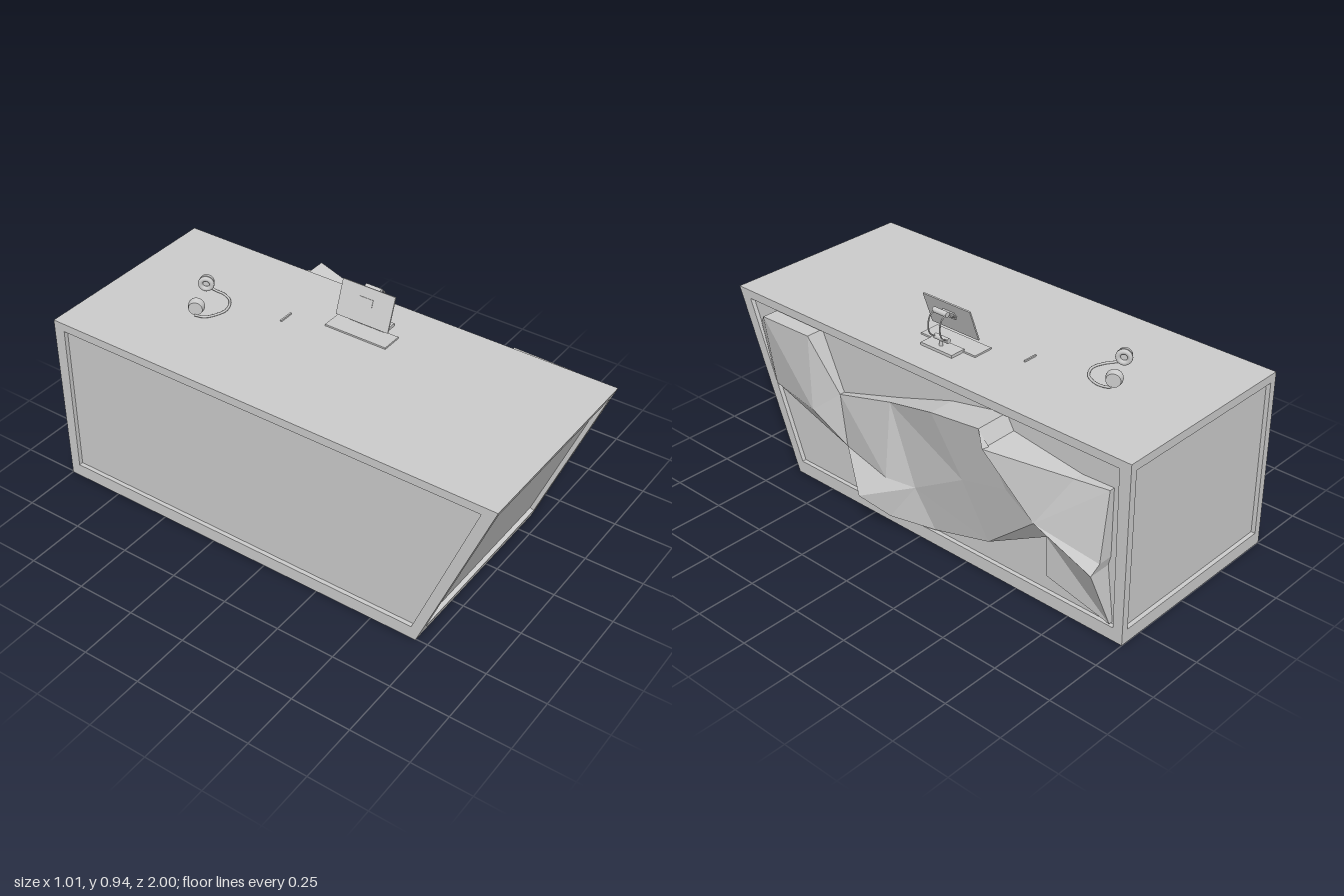
import * as THREE from 'three';

const V = (x, y, z) => new THREE.Vector3(x, y, z);
const grey = new THREE.MeshStandardMaterial({ color: 0xcccccc });
const facet = new THREE.MeshStandardMaterial({ color: 0xcccccc, flatShading: true, side: THREE.DoubleSide });

function add(parent, name, geometry, pos = [0, 0, 0], material = grey) {
  const mesh = new THREE.Mesh(geometry, material);
  mesh.name = name;
  mesh.position.set(...pos);
  parent.add(mesh);
  return mesh;
}

// Unindexed surface from a flat list of triangle corners
function surface(points) {
  const g = new THREE.BufferGeometry().setFromPoints(points);
  g.computeVertexNormals();
  return g;
}
const quad = (a, b, c, d) => [a, b, c, a, c, d];

// Framed face with a recessed panel; corners run counter-clockwise from bottom left
function framedFace(c, side, depth = 0.018) {
  const normal = c[1].clone().sub(c[0]).cross(c[3].clone().sub(c[0])).normalize();
  const at = (u, v) => c[0].clone().lerp(c[1], u).lerp(c[3].clone().lerp(c[2], u), v);
  const rim = [at(side, 0.075), at(1 - side, 0.075), at(1 - side, 0.953), at(side, 0.953)];
  const deep = rim.map((p) => p.clone().addScaledVector(normal, -depth));
  const tris = quad(...deep);
  for (let i = 0; i < 4; i++) {
    const j = (i + 1) % 4;
    tris.push(...quad(c[i], c[j], rim[j], rim[i]), ...quad(rim[i], rim[j], deep[j], deep[i]));
  }
  return surface(tris);
}

function buildDesk() {
  const desk = new THREE.Group();
  desk.name = 'desk';
  const L = -0.505, R = 0.355, H = 0.76;
  // Corners around the foot and the top; the front leans outwards
  const foot = [V(L, 0, 0.7), V(R, 0, 0.7), V(R, 0, -1), V(L, 0, -1)];
  const top = [V(L, H, 1), V(R, H, 1), V(R, H, -1), V(L, H, -1)];
  ['frontFace', 'leftFace', 'backFace', 'rightFace'].forEach((name, i) => {
    const j = (i + 1) % 4;
    add(desk, name, framedFace([foot[i], foot[j], top[j], top[i]], i % 2 ? 0.025 : 0.035));
  });
  add(desk, 'deskTop', surface(quad(...top)));
  add(desk, 'deskBottom', surface(quad(foot[3], foot[2], foot[1], foot[0])));
  return desk;
}

// Faceted relief on the left face: named ridge points [x, y, z]
function buildRelief() {
  const p = {
    a: [0.345, 0.63, 0.89], A: [0.415, 0.715, 0.79], Z: [0.415, 0.72, 0.53], B: [0.36, 0.39, 0.8],
    b: [0.41, 0.39, 0.53], C: [0.36, 0.48, 0.42], D: [0.355, 0.25, 0.395], E: [0.385, 0.575, 0.115],
    F: [0.415, 0.25, 0.12], G: [0.385, 0.245, -0.01], H: [0.477, 0.155, 0.21], I: [0.415, 0.08, 0.1],
    i: [0.35, 0.065, -0.08], J: [0.45, 0.67, -0.165], K: [0.485, 0.725, -0.43], L: [0.505, 0.665, -0.465],
    M: [0.42, 0.42, -0.29], N: [0.365, 0.155, -0.37], O: [0.44, 0.49, -0.52], P: [0.44, 0.405, -0.65],
    Q: [0.38, 0.62, -0.78], R: [0.36, 0.625, -0.92], S: [0.4, 0.34, -0.92], T: [0.435, 0.3, -0.91],
    U: [0.355, 0.065, -0.94], v: [0.36, 0.135, -0.65], W: [0.365, 0.31, -0.65],
  };
  for (const k in p) p[k] = V(...p[k]);
  const faces = 'aAB AbB AZb ZCb bCD BbD CEF CFD DFH FEG FGH GIH GNi IGi EJM EMG MNG JKM KOM KLP KPO '
    + 'MON OPN LQP QRP RSP STP PTW WTU WUv PWN';
  const tris = [];
  for (const f of faces.split(' ')) {
    let [a, b, c] = [...f].map((k) => p[k]);
    // Turn every facet outwards
    if (b.clone().sub(a).cross(c.clone().sub(a)).x < 0) [b, c] = [c, b];
    tris.push(a, b, c);
  }
  // Skirt from the outline back to the panel
  const rim = [...'aAZCEJKLQRSTUvWNiIHDB'].map((k) => p[k]);
  rim.forEach((a, i) => {
    const b = rim[(i + 1) % rim.length];
    tris.push(...quad(a, V(0.336, a.y, a.z), V(0.336, b.y, b.z), b));
  });
  const relief = new THREE.Group();
  relief.name = 'relief';
  add(relief, 'facetedRelief', surface(tris), [0, 0, 0], facet);
  return relief;
}

const tube = (pts, r, n = 24) =>
  new THREE.TubeGeometry(new THREE.CatmullRomCurve3(pts.map((q) => V(...q))), n, r, 8);

function buildHeadphones() {
  const set = new THREE.Group();
  set.name = 'headphones';
  [[-0.16, -0.565, 1], [-0.005, -0.64, -1]].forEach(([x, z, s]) => {
    const cup = new THREE.Group();
    cup.name = 'earCup';
    cup.position.set(x, 0.803, z);
    cup.rotation.y = 0.48 + (s < 0 ? Math.PI : 0);
    // Housing outside, soft ring inside
    add(cup, 'housing', new THREE.CylinderGeometry(0.033, 0.028, 0.022, 24), [-0.009, 0, 0]).rotation.z = -Math.PI / 2;
    add(cup, 'cushion', new THREE.TorusGeometry(0.023, 0.01, 10, 24), [0.008, 0, 0]).rotation.y = Math.PI / 2;
    set.add(cup);
  });
  add(set, 'headband', tube([[-0.18, 0.775, -0.56], [-0.16, 0.767, -0.53], [-0.125, 0.766, -0.505], [-0.07, 0.766, -0.49],
    [-0.01, 0.766, -0.52], [0.015, 0.766, -0.57], [0.016, 0.767, -0.61], [0.013, 0.775, -0.645]], 0.005, 40));
  return set;
}

function buildMonitor() {
  const mon = new THREE.Group();
  mon.name = 'monitor';
  const zc = 0.03;
  // Tilted screen with a mount on its back
  const screen = add(mon, 'screen', new THREE.BoxGeometry(0.006, 0.145, 0.24), [0.134, 0.873, zc]);
  screen.rotation.z = -0.35;
  const mount = add(mon, 'mount', new THREE.BoxGeometry(0.014, 0.03, 0.06), [0.141, 0.887, zc]);
  mount.rotation.z = -0.35;
  // Hinge barrels joined by a pair of curved arms
  [[0.195, 0.915], [0.19, 0.803]].forEach(([x, y]) => {
    add(mon, 'hinge', new THREE.CylinderGeometry(0.011, 0.011, 0.07, 20), [x, y, zc - 0.005]).rotation.x = Math.PI / 2;
  });
  for (const s of [-1, 1]) {
    const z = zc - 0.005 + s * 0.03;
    add(mon, 'arm', tube([[0.195, 0.915, z], [0.222, 0.9, z], [0.232, 0.86, z], [0.222, 0.825, z], [0.19, 0.803, z]], 0.003));
    add(mon, 'bracket', tube([[0.143, 0.887, z], [0.165, 0.893, z], [0.18, 0.908, z], [0.195, 0.915, z]], 0.003, 12));
  }
  add(mon, 'stem', new THREE.CylinderGeometry(0.006, 0.008, 0.032, 16), [0.19, 0.787, zc]);
  add(mon, 'base', new THREE.BoxGeometry(0.07, 0.012, 0.16), [0.188, 0.766, zc - 0.005]);
  return mon;
}

export function createModel() {
  const model = new THREE.Group();
  model.name = 'receptionDesk';
  model.add(buildDesk(), buildRelief(), buildHeadphones(), buildMonitor());
  add(model, 'keyboard', new THREE.BoxGeometry(0.09, 0.007, 0.28), [0.115, 0.7635, 0.025]);
  add(model, 'pen', new THREE.BoxGeometry(0.065, 0.006, 0.007), [0.028, 0.763, -0.272]);
  return model;
}
